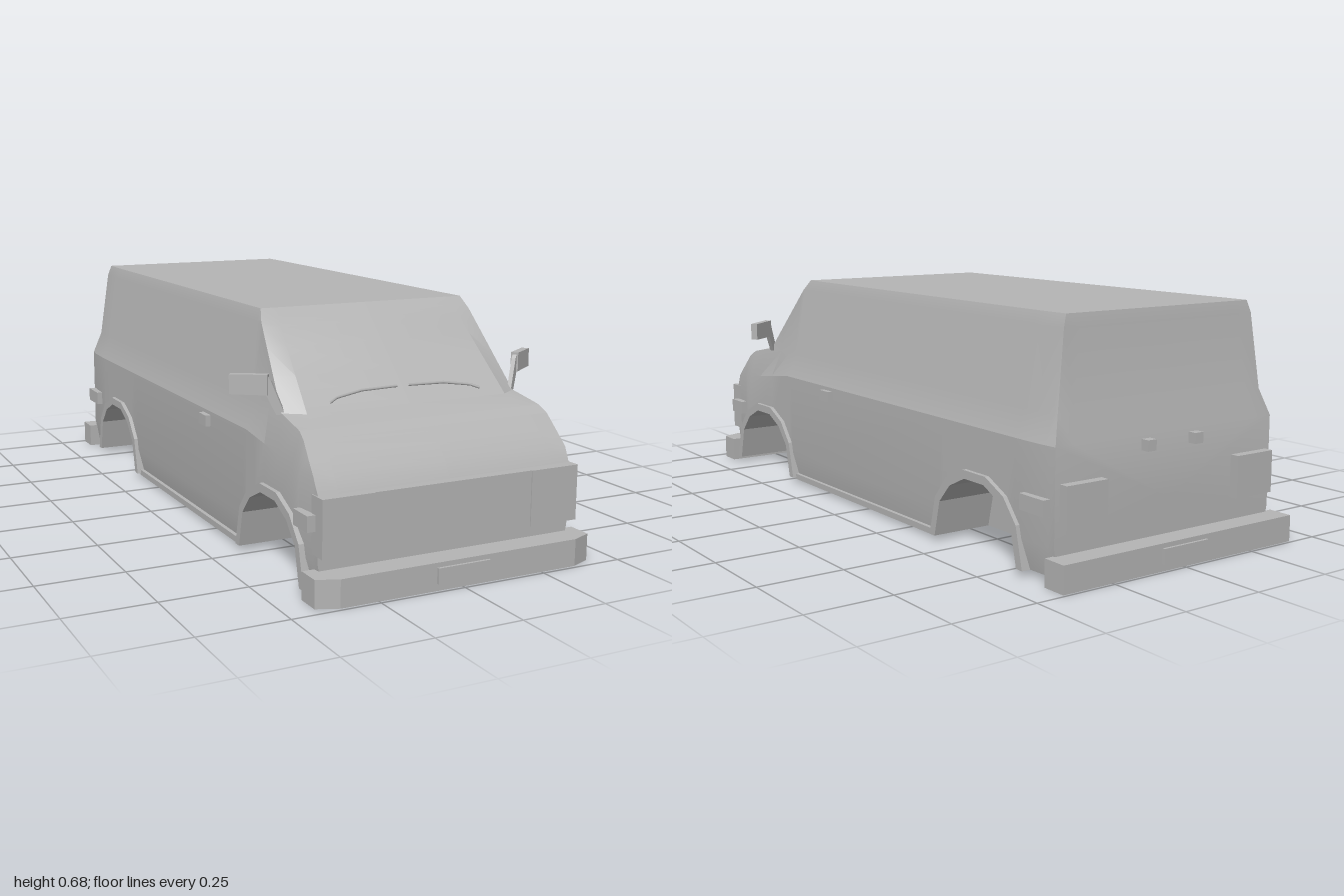
import * as THREE from 'three';
import { toCreasedNormals } from 'three/addons/utils/BufferGeometryUtils.js';

const paint = new THREE.MeshStandardMaterial({ color: 0xb4b4b4 });
paint.name = 'plain grey';

const FLOOR = 0.02;
const ARCH_CENTRES = [0.665, -0.605];
const ARCH_INNER = [[-0.19, FLOOR], [-0.165, 0.125], [-0.115, 0.18], [-0.045, 0.213],
  [0.045, 0.213], [0.115, 0.18], [0.165, 0.125], [0.19, FLOOR]];
const ARCH_OUTER = [[-0.215, FLOOR], [-0.187, 0.135], [-0.132, 0.2], [-0.052, 0.237],
  [0.052, 0.237], [0.132, 0.2], [0.187, 0.135], [0.215, FLOOR]];
// Centre-line outline of rear, roof, windscreen and bonnet as [z, y]
const TOP = [[-0.925, 0.36], [-0.902, 0.435], [-0.888, 0.65], [-0.882, 0.684], [0.45, 0.684],
  [0.486, 0.65], [0.71, 0.435], [0.79, 0.412], [0.82, 0.395], [0.895, 0.315], [0.915, 0.275]];

// Piecewise-linear lookup
function lerpTable(table, t) {
  if (t <= table[0][0]) return table[0][1];
  for (let i = 1; i < table.length; i++) {
    const [a, u] = table[i - 1], [b, v] = table[i];
    if (t <= b) return u + (v - u) * (t - a) / (b - a);
  }
  return table[table.length - 1][1];
}

// One closed body cross-section, counter-clockwise seen from the front
function section(z) {
  const top = lerpTable(TOP, z);
  const belt = lerpTable([[0.5, 0.36], [0.9, 0.312]], z);
  const taper = lerpTable([[-0.925, 0.98], [-0.85, 1], [0.82, 1], [0.915, 0.975]], z);
  let bottom = FLOOR;
  for (const c of ARCH_CENTRES) bottom = Math.max(bottom, lerpTable(ARCH_INNER, z - c));
  const widths = [[FLOOR, 0.382], [0.1, 0.396], [belt, 0.395], [0.435, 0.368], [0.65, 0.338], [0.684, 0.326]];
  const half = [[0.22, FLOOR], [0.22, bottom]];
  for (const level of [bottom, 0.1, belt, 0.435, 0.65, 0.684]) {
    const y = Math.min(top, Math.max(bottom, level));
    half.push([lerpTable(widths, y) * taper, y]);
  }
  half.push([half[half.length - 1][0] * 0.85, top]);
  // Sweep the windscreen corners back
  const sweep = 0.04 * lerpTable([[0.45, 0], [0.71, 1], [0.79, 0]], z);
  const right = half.map(([x, y], i) =>
    new THREE.Vector3(x, y, y > 0.42 && i < half.length - 1 ? z - sweep : z));
  const left = right.map((p) => new THREE.Vector3(-p.x, p.y, p.z)).reverse();
  return [new THREE.Vector3(0, FLOOR, z), ...right, new THREE.Vector3(0, top, z), ...left];
}

// Body shell lofted front to rear, with recessed wheel wells
function bodyGeometry() {
  const zs = TOP.map((p) => p[0]).concat([0.5]);
  for (const c of ARCH_CENTRES) for (const p of ARCH_INNER) zs.push(c + p[0]);
  zs.sort((a, b) => b - a);
  const rings = zs.map(section);
  const pos = [];
  const tri = (a, b, c) => {
    const area = b.clone().sub(a).cross(c.clone().sub(a)).length();
    if (area > 1e-8) for (const p of [a, b, c]) pos.push(p.x, p.y, p.z);
  };
  const n = rings[0].length;
  for (let i = 0; i + 1 < rings.length; i++) {
    for (let j = 0; j < n; j++) {
      const k = (j + 1) % n;
      tri(rings[i][j], rings[i + 1][j], rings[i + 1][k]);
      tri(rings[i][j], rings[i + 1][k], rings[i][k]);
    }
  }
  const front = rings[0], rear = rings[rings.length - 1];
  const cf = new THREE.Vector3(0, 0.15, front[0].z), cr = new THREE.Vector3(0, 0.18, rear[0].z);
  for (let j = 0; j < n; j++) {
    const k = (j + 1) % n;
    tri(cf, front[j], front[k]);
    tri(cr, rear[k], rear[j]);
  }
  const geo = new THREE.BufferGeometry();
  geo.setAttribute('position', new THREE.Float32BufferAttribute(pos, 3));
  return toCreasedNormals(geo, 0.3);
}

function extrude(points, depth) {
  const shape = new THREE.Shape(points.map(([x, y]) => new THREE.Vector2(x, y)));
  return new THREE.ExtrudeGeometry(shape, { depth, bevelEnabled: false });
}

export function createModel() {
  const van = new THREE.Group();
  van.name = 'van';
  const add = (name, geo) => {
    const mesh = new THREE.Mesh(geo, paint);
    mesh.name = name;
    van.add(mesh);
    return mesh;
  };
  // Box given by its limits on each axis
  const box = (name, x0, x1, y0, y1, z0, z1) =>
    add(name, new THREE.BoxGeometry(x1 - x0, y1 - y0, z1 - z0))
      .position.set((x0 + x1) / 2, (y0 + y1) / 2, (z0 + z1) / 2);
  const pair = (name, x0, x1, ...rest) => {
    box(name + 'Left', x0, x1, ...rest);
    box(name + 'Right', -x1, -x0, ...rest);
  };

  add('bodyShell', bodyGeometry());

  // Grille and headlights
  box('grille', -0.24, 0.24, 0.12, 0.275, 0.89, 0.945);
  pair('headlight', 0.24, 0.39, 0.12, 0.275, 0.89, 0.948);

  // Bumpers: plan outline extruded upwards
  const bumper = (name, outline) => {
    const mesh = add(name, extrude(outline.map(([x, z]) => [x, -z]), 0.076));
    mesh.rotation.x = -Math.PI / 2;
    mesh.position.y = 0.004;
  };
  bumper('frontBumper', [[-0.42, 0.895], [0.42, 0.895], [0.42, 0.965], [0.36, 0.99], [-0.36, 0.99], [-0.42, 0.965]]);
  bumper('rearBumper', [[-0.412, -0.918], [0.412, -0.918], [0.412, -0.992], [-0.412, -0.992]]);
  box('frontPlate', -0.08, 0.08, 0.024, 0.067, 0.985, 0.998);
  box('rearPlate', -0.08, 0.08, 0.024, 0.067, -1, -0.985);

  // Lamps, hinges and handles
  pair('rearLamp', 0.235, 0.372, 0.145, 0.265, -0.952, -0.915);
  pair('rearDoorHinge', 0.07, 0.1, 0.318, 0.348, -0.95, -0.915);
  pair('frontSideMarker', 0.375, 0.413, 0.183, 0.226, 0.832, 0.91);
  pair('rearSideMarker', 0.375, 0.413, 0.183, 0.226, -0.91, -0.812);
  pair('doorHandle', 0.385, 0.411, 0.316, 0.349, 0.19, 0.245);

  for (const side of [1, -1]) {
    const label = side > 0 ? 'Left' : 'Right';
    // Wheel arch flares
    for (const c of ARCH_CENTRES) {
      const ring = [...ARCH_OUTER, ...[...ARCH_INNER].reverse()].map(([z, y]) => [-(z + c), y]);
      const flare = add((c > 0 ? 'front' : 'rear') + 'WheelArch' + label, extrude(ring, 0.03));
      flare.rotation.y = Math.PI / 2;
      flare.position.x = side > 0 ? 0.378 : -0.408;
    }
    // Sill trim between the arches
    const s = side * 0.388;
    box('sill' + label, s - 0.008, s + 0.008, 0.014, 0.032, -0.395, 0.455);

    // Door mirror: angled arm and head
    const mirror = new THREE.Group();
    mirror.name = 'mirror' + label;
    const parts = [
      ['mirrorArm', [[-0.012, -0.005], [0.012, -0.005], [0.04, 0.048], [0.036, 0.098], [0.026, 0.085]], 0.012],
      ['mirrorHead', [[0.034, 0.047], [0.138, 0.047], [0.138, 0.1], [0.034, 0.102]], 0.022],
    ];
    for (const [name, pts, depth] of parts) {
      const mesh = new THREE.Mesh(extrude(pts.map(([x, y]) => [x * side, y]), depth), paint);
      mesh.name = name;
      mesh.position.z = -depth / 2;
      mirror.add(mesh);
    }
    mirror.rotation.y = side * 0.64;
    mirror.position.set(side * 0.365, 0.435, 0.662);
    van.add(mirror);

    // Wiper lying on the windscreen
    const path = new THREE.CurvePath();
    const pts = [[0.018, 0.479], [0.13, 0.477], [0.212, 0.466], [0.238, 0.456]].map(([x, y]) =>
      new THREE.Vector3(side * x, y, 0.716 - (y - 0.435) * 1.04));
    for (let i = 1; i < pts.length; i++) path.add(new THREE.LineCurve3(pts[i - 1], pts[i]));
    add('wiper' + label, new THREE.TubeGeometry(path, 24, 0.004, 5));
  }
  return van;
}
